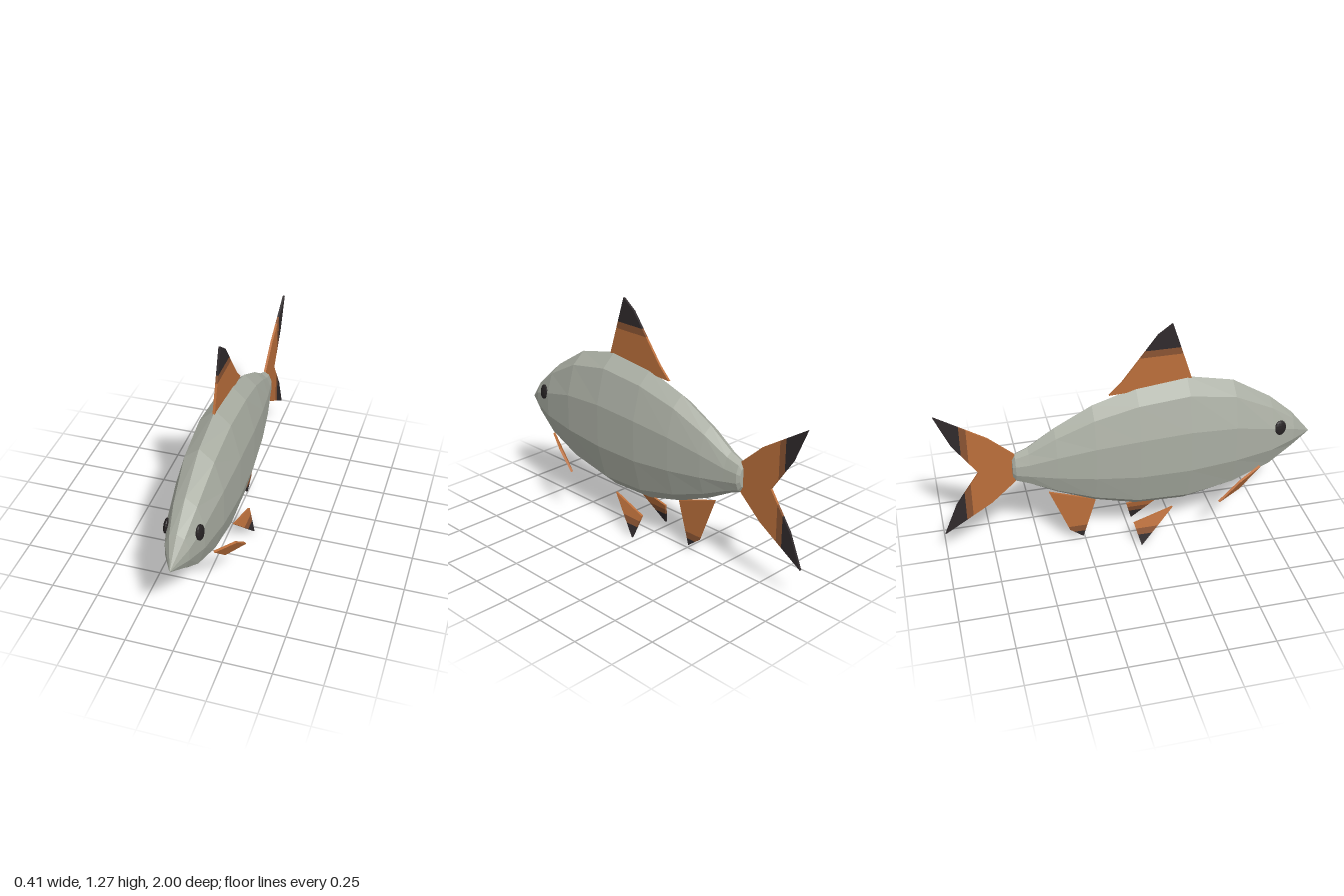
import * as THREE from 'three';
import { ConvexGeometry } from 'three/addons/geometries/ConvexGeometry.js';

const material = (name, color) => {
  const m = new THREE.MeshStandardMaterial({ color });
  m.name = name;
  m.flatShading = true;
  return m;
};

const THICK = 0.012;

// Keep the part of an outline where point[axis] lies between lo and hi
function clip(points, axis, lo, hi) {
  const half = (pts, limit, sign) => {
    const out = [];
    pts.forEach((p, i) => {
      const q = pts[(i + 1) % pts.length];
      const dp = (p[axis] - limit) * sign, dq = (q[axis] - limit) * sign;
      if (dp >= 0) out.push(p);
      if (dp * dq < 0) {
        const t = dp / (dp - dq);
        out.push([p[0] + (q[0] - p[0]) * t, p[1] + (q[1] - p[1]) * t]);
      }
    });
    return out;
  };
  return half(half(points, lo, 1), hi, -1);
}

// Thin upright plate from a [z, y] outline
function plate(points) {
  const shape = new THREE.Shape(points.map(([z, y]) => new THREE.Vector2(-z, y)));
  const geo = new THREE.ExtrudeGeometry(shape, { depth: THICK, bevelEnabled: false });
  geo.translate(0, 0, -THICK / 2);
  geo.rotateY(Math.PI / 2);
  return geo;
}

// Body lofted through ten-sided rings: [z, centre y, half width, half height]
function bodyGeometry() {
  const rings = [
    [1.0, 0.52, 0, 0],
    [0.89, 0.55, 0.064, 0.107],
    [0.76, 0.557, 0.098, 0.217],
    [0.55, 0.575, 0.127, 0.33],
    [0.3, 0.575, 0.137, 0.385],
    [0.03, 0.565, 0.13, 0.365],
    [-0.2, 0.56, 0.111, 0.297],
    [-0.4, 0.55, 0.083, 0.2],
    [-0.54, 0.54, 0.056, 0.113],
    [-0.61, 0.54, 0.043, 0.083],
    [-0.625, 0.54, 0.03, 0.055],
    [-0.626, 0.54, 0, 0],
  ];
  const N = 10, pos = [];
  const at = (i, j) => {
    const [z, cy, rx, ry] = rings[i];
    const a = Math.PI / 2 + (j / N) * Math.PI * 2;
    return [rx * Math.cos(a), cy + ry * Math.sin(a), z];
  };
  for (let i = 0; i < rings.length - 1; i++) {
    for (let j = 0; j < N; j++) {
      const a = at(i, j), b = at(i, j + 1), c = at(i + 1, j), d = at(i + 1, j + 1);
      if (i > 0) pos.push(...a, ...c, ...b);
      if (i < rings.length - 2) pos.push(...b, ...c, ...d);
      if (i === 0) continue;
    }
  }
  const geo = new THREE.BufferGeometry();
  geo.setAttribute('position', new THREE.Float32BufferAttribute(pos, 3));
  geo.computeVertexNormals();
  return geo;
}

export function createModel() {
  const model = new THREE.Group();
  model.name = 'fish';
  const silver = material('silver scales', 0xaaaea3);
  const orange = material('orange fin', 0xbb6f3b);
  const brown = material('brown fin band', 0x8a5433);
  const black = material('black fin tip', 0x302a2c);
  const eyeBlack = material('eye black', 0x262223);

  const add = (parent, name, geo, mat) => {
    const mesh = new THREE.Mesh(geo, mat);
    mesh.name = name;
    parent.add(mesh);
    return mesh;
  };

  // Fin coloured orange, brown, black in order away from the body
  function bandedFin(name, outline, axis, brownAt, blackAt, bend) {
    const fin = new THREE.Group();
    fin.name = name;
    const cuts = [[orange, 'Base', brownAt, null], [brown, 'Band', brownAt, blackAt], [black, 'Tip', blackAt, null]];
    const up = blackAt > brownAt;
    for (const [mat, part, from, to] of cuts) {
      let lo = -9, hi = 9;
      if (part === 'Band') [lo, hi] = [Math.min(from, to), Math.max(from, to)];
      else if ((part === 'Tip') === up) lo = from;
      else hi = from;
      const geo = plate(clip(outline, axis, lo, hi));
      if (bend) {
        const p = geo.attributes.position;
        for (let i = 0; i < p.count; i++) p.setX(i, p.getX(i) + bend(p.getY(i)));
        geo.computeVertexNormals();
      }
      add(fin, name + part, geo, mat);
    }
    model.add(fin);
  }

  add(model, 'body', bodyGeometry(), silver);

  // Fins on the centre line
  bandedFin('dorsalFin',
    [[0.325, 0.95], [0.22, 1.275], [0.145, 1.22], [-0.04, 0.975], [-0.11, 0.905], [0, 0.91]],
    1, 1.1, 1.138);
  bandedFin('analFin',
    [[-0.19, 0.262], [-0.44, 0.35], [-0.335, 0.08], [-0.262, 0.024]],
    1, 0.1, 0.062);

  // Forked tail, as two mirrored lobes
  for (const s of [1, -1]) {
    const lobe = [[-0.6, 0], [-0.6, 0.073], [-0.74, 0.2], [-1, 0.365], [-0.925, 0.185], [-0.8, 0]];
    bandedFin(s > 0 ? 'upperTailLobe' : 'lowerTailLobe',
      lobe.map(([z, y]) => [z, 0.54 + s * y]), 0, -0.845, -0.88);
  }

  for (const s of [1, -1]) {
    const side = s > 0 ? 'left' : 'right';

    // Pelvic fins splay outwards as they go down
    bandedFin(side + 'PelvicFin', [[0.22, 0.19], [0, 0.13], [0.035, 0.003]],
      1, 0.1, 0.065, (y) => s * (0.07 + (0.19 - y) * 0.31));

    // Pectoral fins: thin slanted plates
    const corners = [[0.113, 0.41, 0.69], [0.183, 0.377, 0.555], [0.2, 0.279, 0.44], [0.13, 0.295, 0.57]]
      .map(([x, y, z]) => new THREE.Vector3(s * x, y, z));
    const normal = corners[2].clone().sub(corners[0])
      .cross(corners[3].clone().sub(corners[1])).setLength(THICK / 2);
    add(model, side + 'PectoralFin', new ConvexGeometry(
      corners.flatMap((c) => [c.clone().add(normal), c.clone().sub(normal)])), orange);

    // Flattened eyes lying along the head
    const eye = add(model, side + 'Eye', new THREE.SphereGeometry(1, 10, 8), eyeBlack);
    eye.scale.set(0.013, 0.042, 0.034);
    eye.position.set(s * 0.084, 0.62, 0.802);
    eye.rotation.set(0, -s * 0.22, s * 0.15, 'YXZ');
  }

  return model;
}
